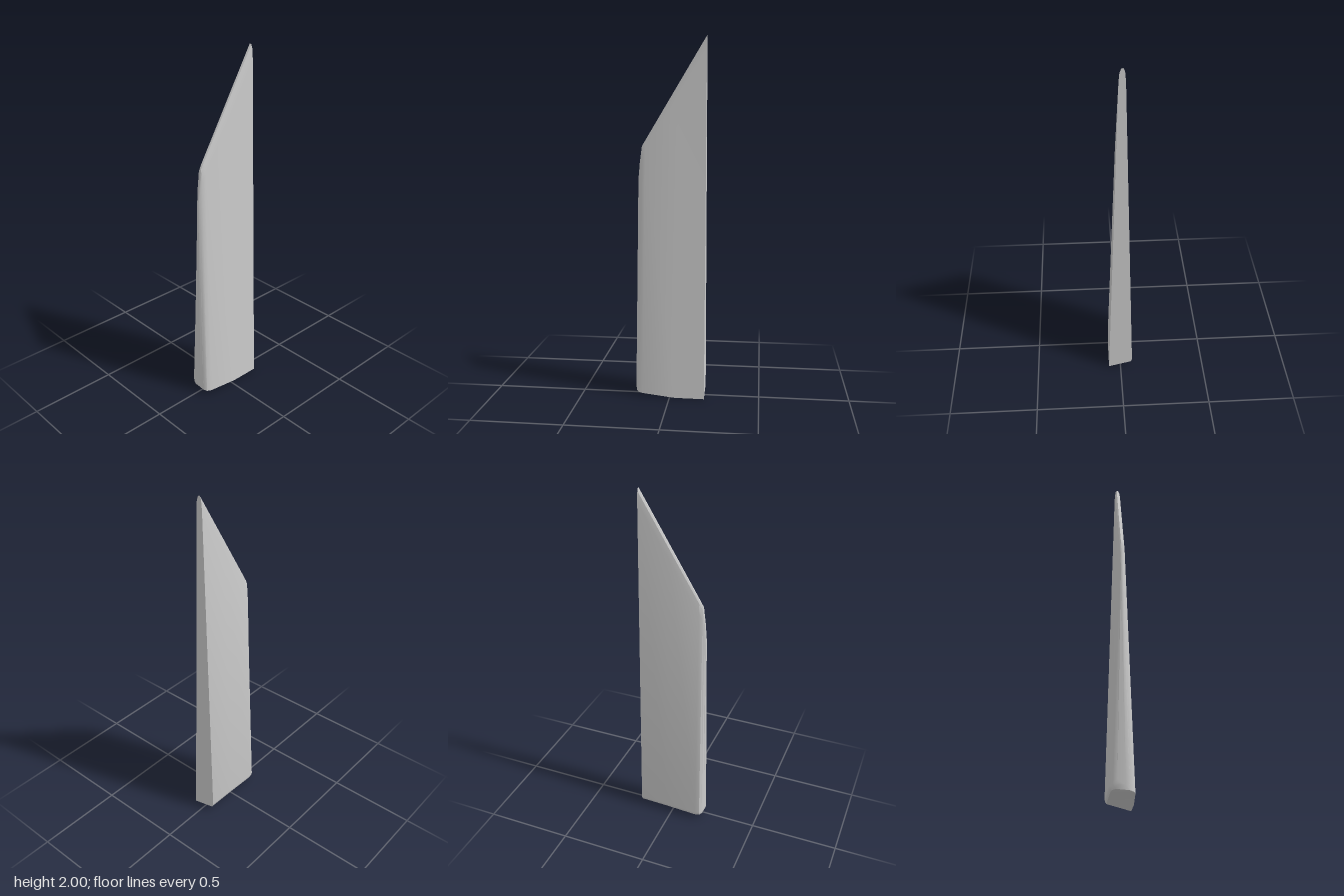
import * as THREE from 'three';
import { toCreasedNormals } from 'three/addons/utils/BufferGeometryUtils.js';

// Stations from the flat edge (+x) to the rounded edge (-x):
// x and y at the bottom front, y at the bottom back, x and y at the top,
// front and back z at the bottom, thickness factor at the top
const stations = [
  { xb: 0.195, yf: 0, yr: 0.035, xt: 0.195, yt: 2, zf: 0.07, zr: -0.07, w: 1 },
  { xb: 0.03, yf: 0, yr: 0.03, xt: 0.03, yt: 1.726, zf: 0.069, zr: -0.07, w: 1 },
  { xb: -0.155, yf: 0.017, yr: 0.022, xt: -0.14, yt: 1.443, zf: 0.06, zr: -0.071, w: 1 },
  { xb: -0.18, yf: 0.02, yr: 0.025, xt: -0.16, yt: 1.41, zf: 0.05, zr: -0.066, w: 0.8 },
  { xb: -0.191, yf: 0.025, yr: 0.03, xt: -0.172, yt: 1.32, zf: 0.03, zr: -0.05, w: 0.6 },
  { xb: -0.197, yf: 0.05, yr: 0.05, xt: -0.18, yt: 1.23, zf: 0.01, zr: -0.03, w: 0.4 },
];

// Closed section: up the front, over the rounded top, down the back
function section({ xb, yf, yr, xt, yt, zf, zr, w }) {
  const mid = -0.006;
  const top = (dz, drop) => [xt, yt - drop, mid + dz * w];
  return [
    [xb, yf, zf],
    top(0.018, 0.07), top(0.014, 0.025), top(0.006, 0.004),
    top(-0.004, 0), top(-0.012, 0.015), top(-0.017, 0.07),
    [xb, yr + 0.025, zr], [xb, yr + 0.01, zr + 0.003], [xb, yr, zr + 0.01],
  ];
}

function bladeGeometry() {
  const rings = stations.map(section);
  const n = rings[0].length;
  const index = [];
  for (let s = 0; s < rings.length - 1; s++) {
    for (let j = 0; j < n; j++) {
      const a = s * n + j, b = s * n + (j + 1) % n;
      index.push(a, b, b + n, a, b + n, a + n);
    }
  }
  // End caps
  const last = (rings.length - 1) * n;
  for (let j = 1; j < n - 1; j++) {
    index.push(0, j + 1, j, last, last + j, last + j + 1);
  }
  const geometry = new THREE.BufferGeometry();
  geometry.setAttribute('position', new THREE.Float32BufferAttribute(rings.flat(2), 3));
  geometry.setIndex(index);
  return toCreasedNormals(geometry, 0.6);
}

export function createModel() {
  const group = new THREE.Group();
  const blade = new THREE.Mesh(bladeGeometry(), new THREE.MeshStandardMaterial({ color: 0xcccccc }));
  blade.name = 'blade';
  group.add(blade);
  return group;
}
